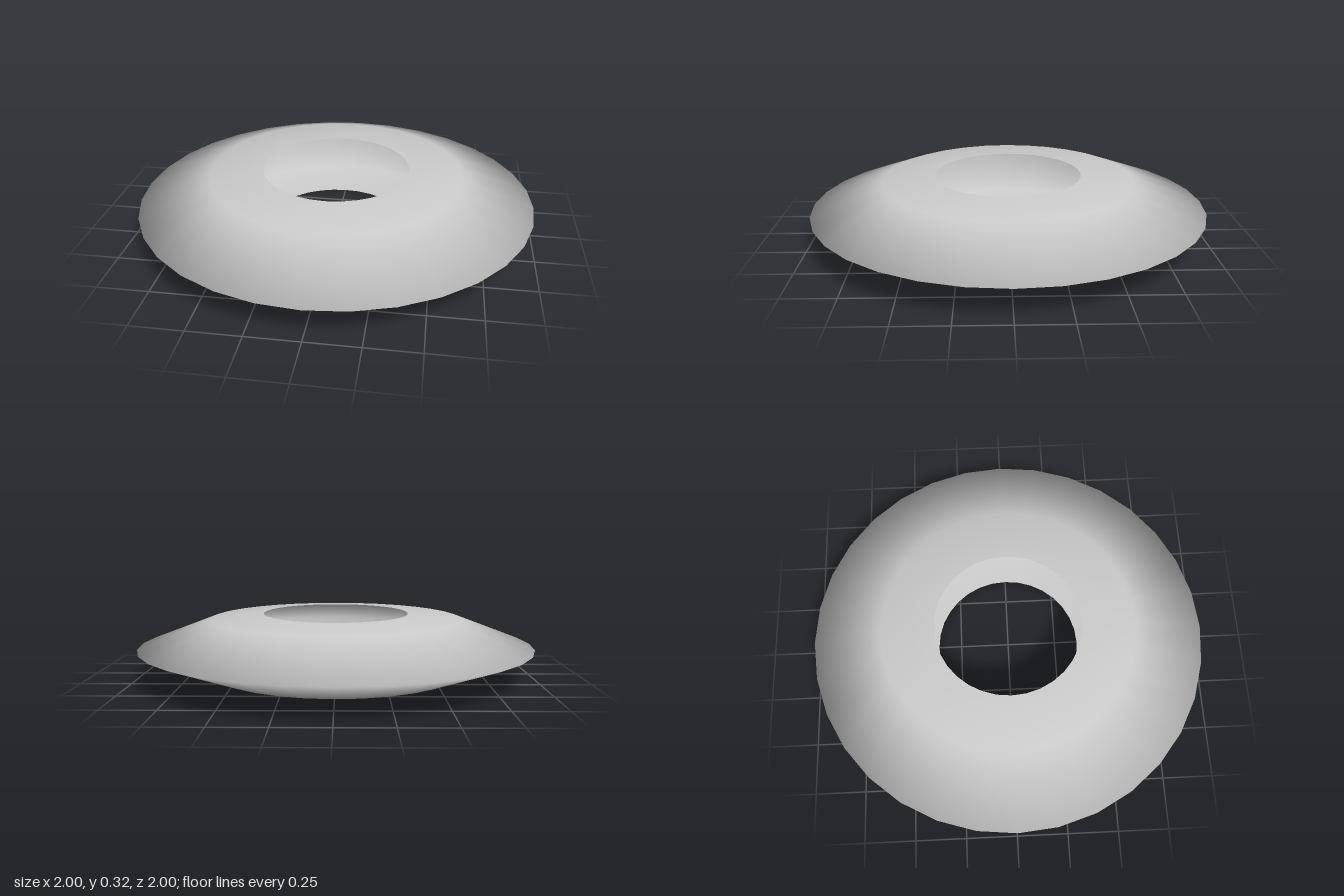
import * as THREE from 'three';

export function createModel() {
  const group = new THREE.Group();

  // Half profile of the hollow ring, from the lower rim out to the edge and back to the upper rim
  const profile = [
    [0.37, 0],
    [0.64, 0.023],
    [1, 0.16],
    [0.64, 0.297],
    [0.37, 0.32],
  ].map(([r, y]) => new THREE.Vector2(r, y));

  // Smooth shell, open towards the central hole
  const shell = new THREE.Mesh(
    new THREE.LatheGeometry(profile, 32),
    new THREE.MeshStandardMaterial({ color: 0xcccccc, side: THREE.DoubleSide })
  );
  shell.name = 'ringShell';
  group.add(shell);

  return group;
}
